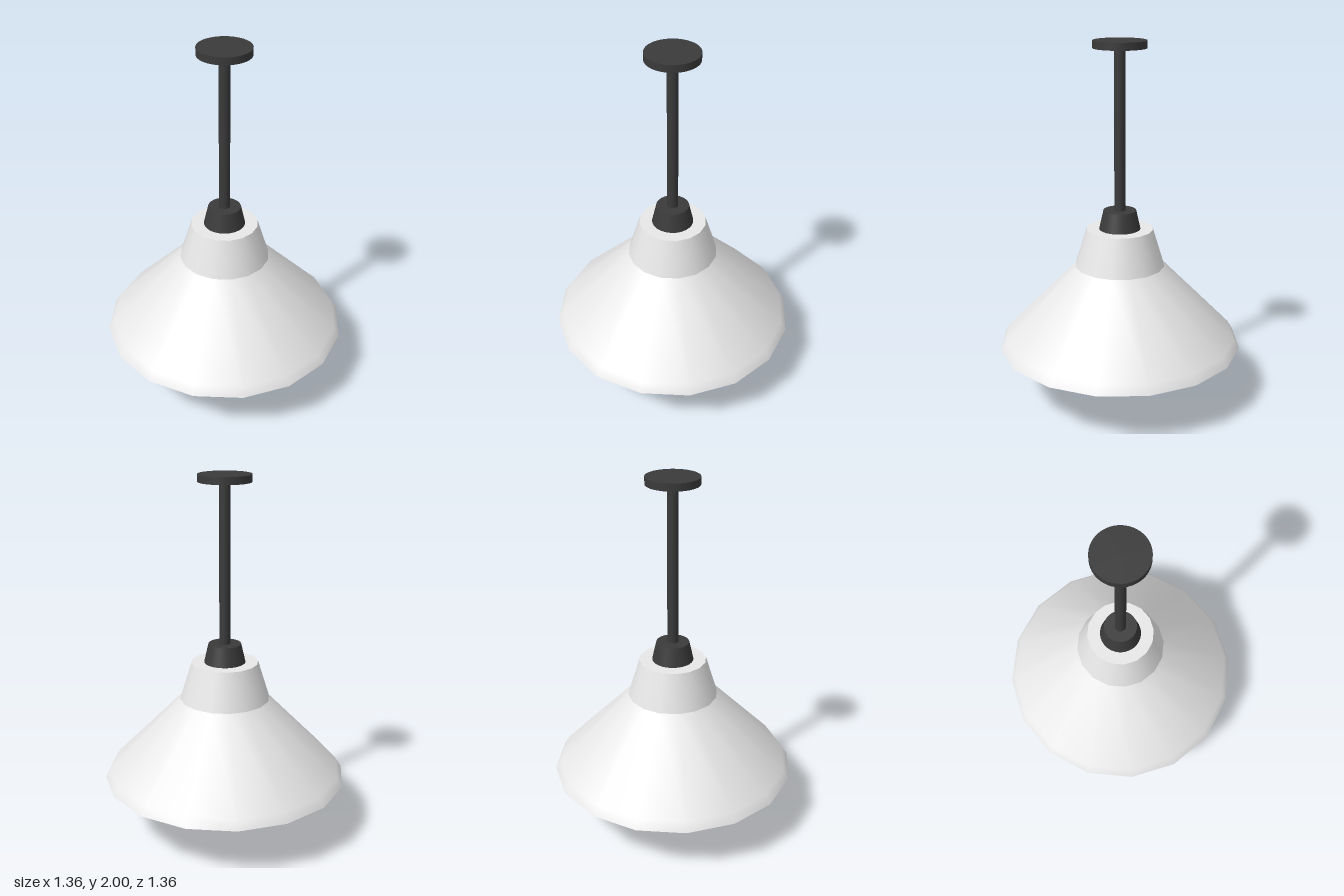
import * as THREE from 'three';

export function createModel() {
  const lamp = new THREE.Group();
  lamp.name = 'pendantLamp';

  const mat = (name, color) => {
    const m = new THREE.MeshStandardMaterial({ color });
    m.name = name;
    return m;
  };
  const black = mat('black metal', 0x3a3a3a);
  const white = mat('white enamel', 0xe8e8e8);
  const glass = mat('smoky glass', 0x8c8683);

  const add = (name, geometry, material, y = 0, parent = lamp) => {
    const mesh = new THREE.Mesh(geometry, material);
    mesh.name = name;
    mesh.position.y = y;
    parent.add(mesh);
    return mesh;
  };
  // Cylinder given by its bottom and top heights
  const post = (name, rTop, rBottom, y0, y1, material, sides = 32) =>
    add(name, new THREE.CylinderGeometry(rTop, rBottom, y1 - y0, sides), material, (y0 + y1) / 2);

  // Ceiling plate, rod and cap
  post('ceilingPlate', 0.143, 0.143, 1.96, 2.0, black, 48);
  post('rod', 0.03, 0.03, 1.07, 1.97, black, 24);
  post('cap', 0.09, 0.115, 0.975, 1.085, black);

  // Sixteen-sided shade: each section is its own lathe, so its ends stay sharp
  const shade = new THREE.Group();
  shade.name = 'shade';
  lamp.add(shade);
  const sections = {
    outerCone: [[0.68, 0.31], [0.65, 0.36], [0.25, 0.77]],
    outerNeck: [[0.25, 0.77], [0.185, 0.98]],
    topFace: [[0.185, 0.98], [0, 0.98]],
    innerTop: [[0, 0.96], [0.17, 0.96]],
    innerNeck: [[0.17, 0.96], [0.235, 0.76]],
    innerCone: [[0.235, 0.76], [0.63, 0.355], [0.655, 0.31]],
    rim: [[0.655, 0.31], [0.68, 0.31]],
  };
  for (const [name, profile] of Object.entries(sections)) {
    const points = profile.map(([r, y]) => new THREE.Vector2(r, y));
    add(name, new THREE.LatheGeometry(points, 16), white, 0, shade);
  }

  // Socket with screw rings around the bulb's base
  post('socket', 0.13, 0.13, 0.66, 0.965, white);
  post('bulbBase', 0.095, 0.095, 0.54, 0.67, white);
  for (const y of [0.59, 0.625]) {
    const ring = add('screwRing', new THREE.TorusGeometry(0.098, 0.012, 8, 32), white, y);
    ring.rotation.x = Math.PI / 2;
  }

  // Round bulb
  add('bulb', new THREE.SphereGeometry(0.285, 40, 28), glass, 0.29 - 0.005);

  return lamp;
}
